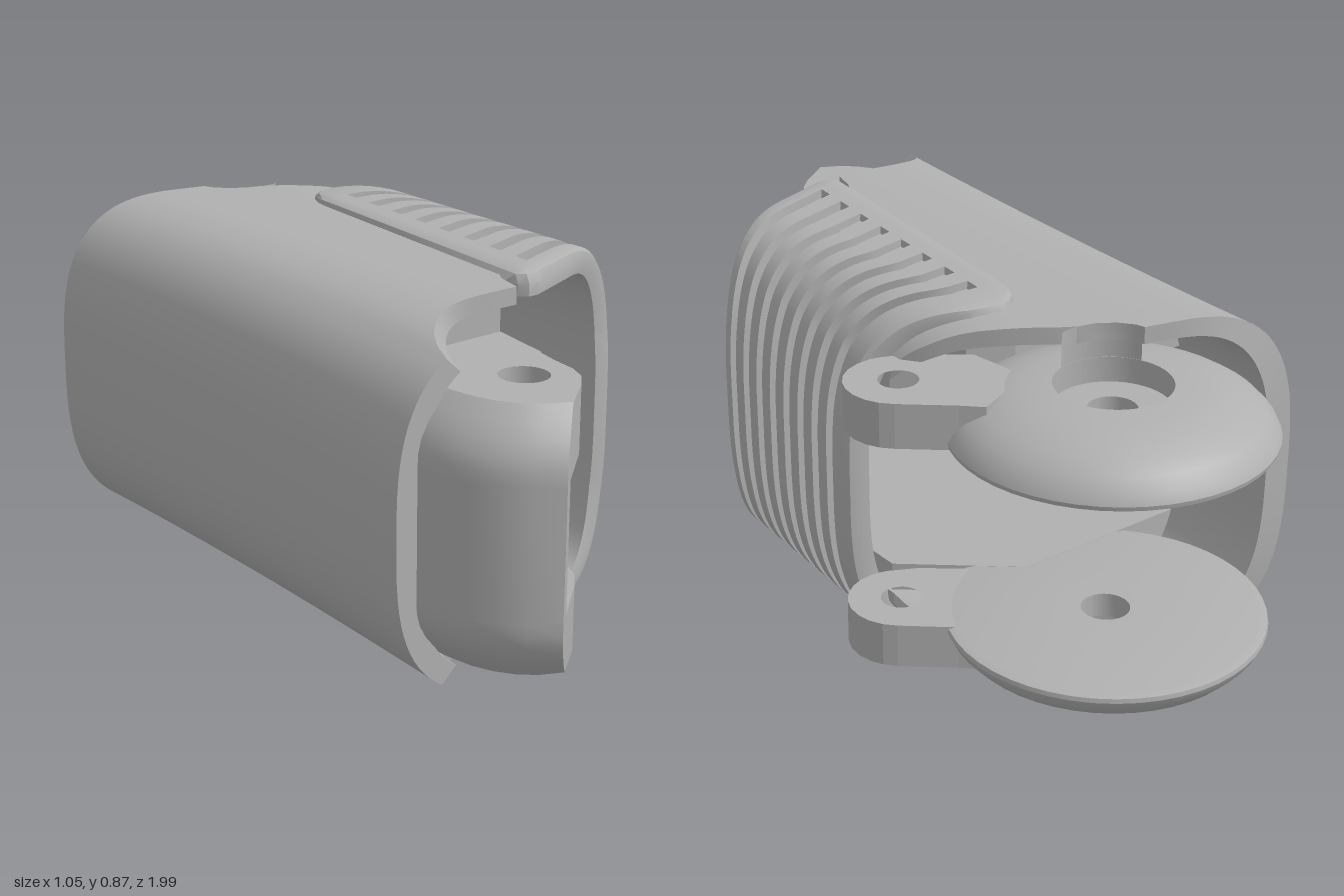
import * as THREE from 'three';
import { toCreasedNormals } from 'three/addons/utils/BufferGeometryUtils.js';

const lerp = THREE.MathUtils.lerp;
const grey = new THREE.MeshStandardMaterial({ color: 0xb0b0b0 });
grey.name = 'grey plastic';
const greyThin = grey;

// Piecewise-linear function through [x, value] points
function along(pts) {
  return (x) => {
    if (x <= pts[0][0]) return pts[0][1];
    for (let i = 1; i < pts.length; i++) {
      const [a, va] = pts[i - 1], [b, vb] = pts[i];
      if (x <= b) return lerp(va, vb, (x - a) / (b - a));
    }
    return pts[pts.length - 1][1];
  };
}

// Point on a superellipse quarter, angle measured from the x axis
function bulge(cx, a, b, deg) {
  const t = THREE.MathUtils.degToRad(deg);
  return [cx + a * Math.max(0, Math.cos(t)) ** (2 / 3), b * Math.sin(t) ** (2 / 3)];
}

// C-shaped sleeve: outer and inner profiles swept from back (t=0) to front (t=1)
function sleeve(prof, zBack, zFront, ts, sink, bow) {
  const n = prof.outB.length, pos = [], idx = [];
  for (const t of ts) {
    const k = t ** bow;
    const at = (b, f) => [lerp(b[0], f[0], k), lerp(b[1], f[1], k)];
    const outer = [], inner = [];
    for (let i = 0; i < n; i++) {
      const z = lerp(zBack(prof.outB[i][0]), zFront(prof.outF[i][0]), t);
      const o = at(prof.outB[i], prof.outF[i]), q = at(prof.inB[i], prof.inF[i]);
      const d = sink(t, i, n);
      outer.push([lerp(o[0], q[0], d), lerp(o[1], q[1], d), z]);
      inner.push([q[0], q[1], z]);
    }
    pos.push(...outer.flat(), ...inner.reverse().flat());
  }
  const m = 2 * n, last = (ts.length - 1) * m;
  for (let j = 0; j < ts.length - 1; j++) {
    for (let i = 0; i < m; i++) {
      const a = j * m + i, b = j * m + ((i + 1) % m);
      idx.push(a, a + m, b, b, a + m, b + m);
    }
  }
  for (let i = 0; i < n - 1; i++) {
    const q = m - 1 - i;
    idx.push(last + q, last + q - 1, last + i + 1, last + q, last + i + 1, last + i);
    idx.push(q, i + 1, q - 1, q, i, i + 1);
  }
  const g = new THREE.BufferGeometry();
  g.setAttribute('position', new THREE.Float32BufferAttribute(pos, 3));
  g.setIndex(idx);
  return toCreasedNormals(g, 0.5);
}

// Flat plate from a plan outline of [x, z] points, with round holes [x, z, r]
function plate(outline, y0, y1, holes = [], steps = 1) {
  const s = new THREE.Shape(outline.map(([x, z]) => new THREE.Vector2(x, -z)));
  for (const [x, z, r] of holes) s.holes.push(new THREE.Path().absarc(x, -z, r, 0, Math.PI * 2, true));
  const g = new THREE.ExtrudeGeometry(s, { depth: y1 - y0, bevelEnabled: false, steps, curveSegments: 16 });
  return g.rotateX(-Math.PI / 2).translate(0, y0, 0);
}

// Mirror a list of upper profile points into a full C
const mirrorDown = (pts) => [...pts, ...pts.slice().reverse().map(([x, y]) => [x, -y])];

// Sleeve half profile: round left side, flat top, softly falling right side
function shellProfile(left, wall, b) {
  const up = [];
  for (let d = 2; d < 90; d += 4) {
    const [x, y] = bulge(0, 0.1 * -1 - left - wall, b, d);
    up.push([-0.1 - x, y]);
  }
  for (const x of [-0.1, -0.07, -0.051, -0.045, -0.02, 0.02, 0.06, 0.1]) up.push([x, b]);
  for (let d = 86; d >= 38; d -= 6) up.push(bulge(0.1, 0.3, b, d));
  return [...up.slice().reverse().map(([x, y]) => [x, -y]), ...up];
}

// Grip half profile: flat top from its left edge, round right side
function gripProfile(left, right, wall) {
  const b = 0.433 - wall, cx = 0.12, up = [];
  for (const k of [0, 0.012, 0.03, 0.055, 0.085, 0.087]) up.push([left + k, b]);
  for (let d = 88; d >= 2; d -= 4) up.push(bulge(cx + 0.02, right - wall - cx - 0.02, b, d));
  return mirrorDown(up);
}

export function createModel() {
  const model = new THREE.Group();
  model.name = 'fingerSegment';
  const body = new THREE.Group();
  body.name = 'body';
  body.position.y = 0.433;
  model.add(body);
  const add = (name, geo, mat = grey) => {
    const mesh = new THREE.Mesh(geo, mat);
    mesh.name = name;
    body.add(mesh);
    return mesh;
  };

  // Outer shell, notched round both pivots
  const shellBack = (x) => {
    if (x < -0.05) return lerp(-0.69, -0.6, (x + 0.43) / 0.38);
    if (x < 0.07) return -0.64 + Math.sqrt(Math.max(0, 0.0169 - (x - 0.07) ** 2));
    return along([[0.07, -0.51], [0.2, -0.41], [0.3, -0.31], [0.38, -0.2]])(x);
  };
  const shellFront = (x) => {
    if (x < -0.4) return 0.72;
    if (x < -0.215) return 0.75 - Math.sqrt(Math.max(0, 0.0342 - (x + 0.215) ** 2));
    return along([[-0.215, 0.565], [-0.07, 0.57], [-0.05, 0.5], [0.1, 0.3], [0.36, 0.05]])(x);
  };
  const even = Array.from({ length: 13 }, (_, i) => i / 12);
  add('shell', sleeve({
    outB: shellProfile(-0.43, 0, 0.415), outF: shellProfile(-0.53, 0, 0.415),
    inB: shellProfile(-0.43, 0.07, 0.375), inF: shellProfile(-0.53, 0.055, 0.375),
  }, shellBack, shellFront, even, () => 0, 1.7));

  // Ribbed grip with eight grooves running round it
  const gripBack = along([[0.05, -0.22], [0.062, -0.28], [0.08, -0.32], [0.105, -0.34], [0.135, -0.35],
    [0.2, -0.335], [0.33, -0.25], [0.4, -0.21], [0.44, -0.2]]);
  const gripFront = along([[-0.045, 0.5], [-0.033, 0.535], [-0.015, 0.552], [0.01, 0.552], [0.38, 0.42]]);
  const ts = [0, 0.012, 0.03], grooves = [];
  for (let i = 0; i < 8; i++) {
    const a = 0.12 + i * 0.109, b = a + 0.045;
    grooves.push([a, b]);
    ts.push(a - 0.001, a, b, b + 0.001);
  }
  ts.push(0.97, 0.988, 1);
  const gripSink = (t, i, n) => {
    const e = Math.min(i, n - 1 - i), end = Math.min(t, 1 - t);
    let d = Math.max(e === 0 ? 0.5 : e === 1 ? 0.12 : 0, end < 0.005 ? 0.5 : end < 0.02 ? 0.12 : 0);
    if (e >= 5 && grooves.some(([a, b]) => t >= a && t <= b)) d = 0.4;
    return d;
  };
  add('ribbedGrip', sleeve({
    outB: gripProfile(0.05, 0.45, 0), outF: gripProfile(-0.045, 0.39, 0),
    inB: gripProfile(0.05, 0.45, 0.055), inF: gripProfile(-0.045, 0.39, 0.055),
  }, gripBack, gripFront, ts, gripSink, 1));

  // Front hinge outlines; the outside curve is rounded off towards top and bottom
  const outerCurve = [[-0.475, 0.5], [-0.475, 0.72], [-0.468, 0.79], [-0.45, 0.85], [-0.42, 0.905], [-0.38, 0.95], [-0.32, 0.99]];
  const pivot = [-0.215, 0.75, 0.055];
  const roundOff = (g) => {
    const p = g.attributes.position;
    for (let i = 0; i < p.count; i++) {
      const x = p.getX(i), z = p.getZ(i);
      if (x > -0.3) continue;
      const k = Math.max(0, Math.abs(p.getY(i)) - 0.16) / 0.135;
      const dx = -0.09 - x, dz = 0.79 - z, s = 0.085 * k * k / Math.hypot(dx, dz);
      p.setXYZ(i, x + dx * s, p.getY(i), z + (z > 0.72 ? dz * s : 0));
    }
    g.deleteAttribute('normal');
    return toCreasedNormals(g, 0.6);
  };
  const tabOutline = [...outerCurve, [-0.17, 0.87], [-0.13, 0.83], [-0.11, 0.785], [-0.1, 0.72], [-0.078, 0.63], [-0.1, 0.6], [-0.2, 0.58], [-0.28, 0.5]];
  const wallOutline = [...outerCurve, [-0.285, 0.962], [-0.285, 0.5]];
  add('hingeWall', roundOff(plate(wallOutline, -0.146, 0.146)));

  // Parts repeated above and below the channel
  const blockOutline = [[-0.28, -0.35], [-0.28, 0.5], [-0.05, 0.5], [0, 0.43], [0.08, 0.27], [0.2, 0.1], [0.2, -0.3], [0.1, -0.35]];
  const ledgeOutline = [[-0.37, -0.4], [-0.39, 0.5], [-0.05, 0.5], [0.02, 0.42], [0.13, 0.22], [0.335, 0.02], [0.335, -0.2], [0.1, -0.4]];
  const webOutline = [[-0.4, 0.45], [-0.4, 0.62], [-0.08, 0.66], [-0.04, 0.45]];
  const lugOutline = [[0.18, -0.48], [0.34, -0.55], [0.38, -0.51]];
  for (let a = -50; a <= 110; a += 16) {
    const r = THREE.MathUtils.degToRad(a);
    lugOutline.push([0.405 + 0.12 * Math.cos(r), -0.33 + 0.12 * Math.sin(r)]);
  }
  lugOutline.push([0.3, -0.25], [0.2, -0.33]);
  const discProfile = [[0.055, 0.217], [0.34, 0.217], [0.358, 0.222], [0.36, 0.232], [0.35, 0.253], [0.325, 0.28], [0.29, 0.302],
    [0.24, 0.32], [0.19, 0.33], [0.13, 0.334], [0.13, 0.275], [0.055, 0.275], [0.055, 0.217]].map(([r, y]) => new THREE.Vector2(r, y));
  const notchMat = new THREE.MeshStandardMaterial({ color: 0xb0b0b0, side: THREE.DoubleSide });
  notchMat.name = 'grey plastic thin';

  for (const s of [1, -1]) {
    const side = s > 0 ? 'upper' : 'lower';
    const slab = (outline, a, b, holes, steps) =>
      plate(outline, Math.min(s * a, s * b), Math.max(s * a, s * b), holes, steps);
    add(side + 'HingeTab', roundOff(slab(tabOutline, 0.146, 0.295, [pivot], 5)));
    add(side + 'HingeWeb', slab(webOutline, 0.217, 0.294));
    add(side + 'Block', slab(blockOutline, 0.217, 0.378));
    add(side + 'Ledge', slab(ledgeOutline, 0.2165, 0.285));
    add(side + 'TendonLug', slab(lugOutline, 0.2175, 0.322, [[0.405, -0.33, 0.045]]));

    // Domed knuckle disc with a sunken pivot hole
    const disc = toCreasedNormals(new THREE.LatheGeometry(discProfile, 48), 0.6);
    if (s < 0) disc.rotateX(Math.PI);
    add(side + 'KnuckleDisc', disc.translate(0.07, 0, -0.64));

    // Curved wall joining the disc recess to the shell notch
    const notch = new THREE.CylinderGeometry(0.131, 0.131, 0.14, 16, 1, true, -1.2, 1.5);
    add(side + 'NotchWall', notch.translate(0.07, s * 0.344, -0.64), notchMat);
  }
  return model;
}
